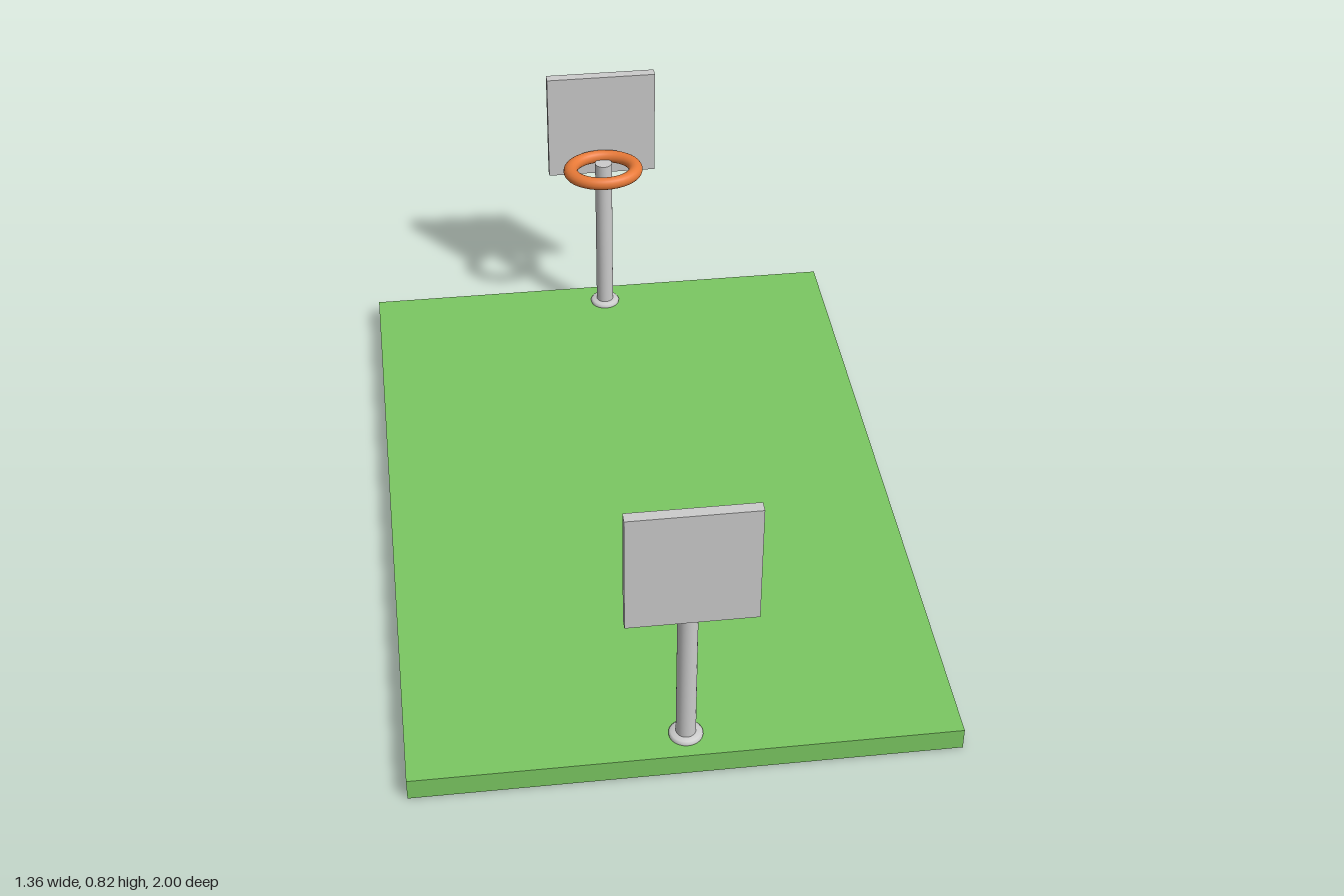
import * as THREE from 'three';

const grey = new THREE.MeshStandardMaterial({ color: 0xcccccc });
const green = new THREE.MeshStandardMaterial({ color: 0x7bc862 });
const orange = new THREE.MeshStandardMaterial({ color: 0xe87a38 });

function part(parent, name, geometry, material, x, y, z) {
  const mesh = new THREE.Mesh(geometry, material);
  mesh.name = name;
  mesh.position.set(x, y, z);
  parent.add(mesh);
  return mesh;
}

// One hoop; side = 1 stands at the front edge, -1 at the back edge
function createHoop(side, x) {
  const hoop = new THREE.Group();
  hoop.name = side > 0 ? 'frontHoop' : 'backHoop';

  // Post with a rounded foot flange, turned as one profile
  const profile = [
    [0, 0.055], [0.042, 0.055], [0.043, 0.063], [0.038, 0.069], [0.025, 0.071],
    [0.025, 0.071], [0.025, 0.555], [0.025, 0.555], [0, 0.555],
  ].map(([r, y]) => new THREE.Vector2(r, y));
  part(hoop, 'post', new THREE.LatheGeometry(profile, 24), grey, x, 0, side * 0.925);

  // Backboard at the court's edge
  part(hoop, 'backboard', new THREE.BoxGeometry(0.316, 0.322, 0.029), grey, x, 0.657, side * 0.983);

  // Rim: a torus laid flat and slightly squashed towards the board
  const rim = new THREE.TorusGeometry(0.096, 0.021, 16, 40);
  rim.rotateX(Math.PI / 2);
  rim.scale(1, 0.9, 0.8);
  part(hoop, 'rim', rim, orange, 0.006, 0.559, side * 0.881);
  return hoop;
}

export function createModel() {
  const model = new THREE.Group();
  model.name = 'basketballCourt';
  part(model, 'courtFloor', new THREE.BoxGeometry(1.364, 0.059, 2), green, 0, 0.0295, 0);
  model.add(createHoop(1, 0.003), createHoop(-1, 0.012));
  return model;
}
